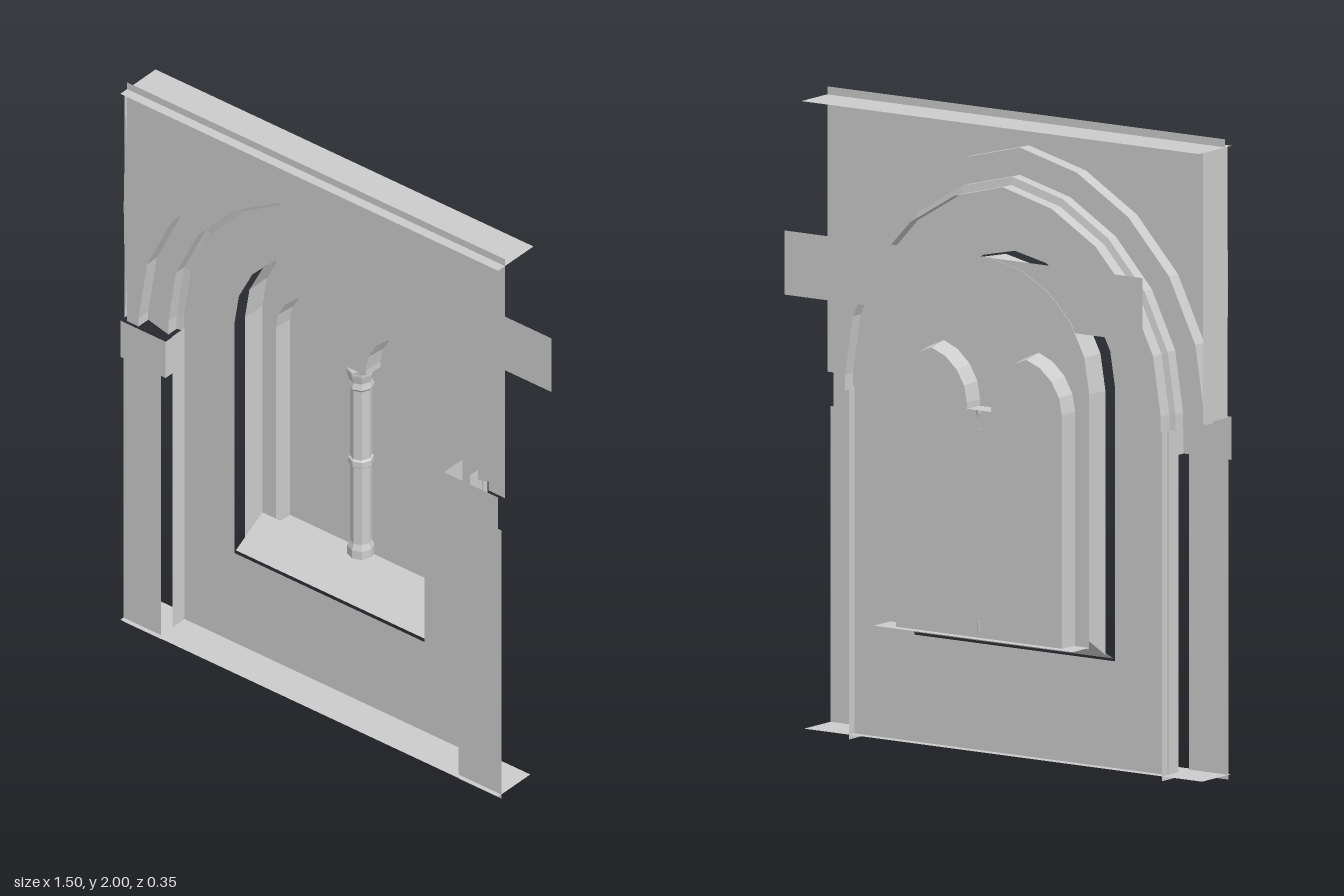
import * as THREE from 'three';

const mat = new THREE.MeshStandardMaterial({ color: 0xcccccc, side: THREE.DoubleSide, flatShading: true });
const v2 = (x, y) => new THREE.Vector2(x, y);

// Outline of a pointed arch, from its left foot over the apex to its right foot
function arch(cx, half, foot, spring, apex, point, n = 10) {
  const pts = [v2(cx - half, foot)];
  for (let i = 0; i <= n; i++) {
    const a = Math.PI * (1 - i / n);
    const rise = (1 - point) * Math.sin(a) + point * (1 - Math.abs(Math.cos(a)));
    pts.push(v2(cx + half * Math.cos(a), spring + (apex - spring) * rise));
  }
  pts.push(v2(cx + half, foot));
  return pts;
}

const rect = (x0, x1, y0, y1) => [v2(x0, y0), v2(x1, y0), v2(x1, y1), v2(x0, y1)];

export function createModel() {
  const model = new THREE.Group();

  const add = (name, geometry, x = 0, y = 0, z = 0) => {
    const mesh = new THREE.Mesh(geometry, mat);
    mesh.name = name;
    mesh.position.set(x, y, z);
    model.add(mesh);
  };

  // Flat upright sheet with optional holes
  const sheet = (name, outline, z, holes = []) => {
    const shape = new THREE.Shape(outline);
    holes.forEach(h => shape.holes.push(new THREE.Path(h)));
    add(name, new THREE.ShapeGeometry(shape), 0, 0, z);
  };

  // Open band joining two outlines with the same number of points
  const band = (name, a, za, b, zb) => {
    const pos = [], index = [];
    a.forEach((p, i) => {
      pos.push(p.x, p.y, za, b[i].x, b[i].y, zb);
      if (i) index.push(2 * i - 2, 2 * i - 1, 2 * i, 2 * i, 2 * i - 1, 2 * i + 1);
    });
    const g = new THREE.BufferGeometry();
    g.setAttribute('position', new THREE.Float32BufferAttribute(pos, 3));
    g.setIndex(index);
    g.computeVertexNormals();
    add(name, g);
  };

  // Horizontal sheet and sideways-facing sheet
  const ledge = (name, x0, x1, y, z0, z1) =>
    add(name, new THREE.PlaneGeometry(x1 - x0, z1 - z0).rotateX(-Math.PI / 2), (x0 + x1) / 2, y, (z0 + z1) / 2);
  const side = (name, x, y0, y1, z0, z1) =>
    add(name, new THREE.PlaneGeometry(z1 - z0, y1 - y0).rotateY(Math.PI / 2), x, (y0 + y1) / 2, (z0 + z1) / 2);

  // Front wall above the capitals, cut out by the large arch
  const outer = arch(-0.01, 0.695, 1.11, 1.14, 1.9, 0.09);
  sheet('frontWall', [v2(-0.75, 1.11), ...outer, v2(0.75, 1.11), v2(0.75, 2), v2(-0.75, 2)], 0.137);
  side('wallSide', -0.75, 1.13, 1.975, 0.02, 0.15);
  ledge('topLedge', -0.75, 0.75, 1.975, 0, 0.17);
  ledge('floorLedge', -0.75, 0.75, 0.015, 0.015, 0.17);

  // Stepped mouldings of the large arch
  const middle = arch(-0.01, 0.615, 1.09, 1.14, 1.815, 0.09);
  const inner = arch(-0.01, 0.595, 1.09, 1.14, 1.79, 0.09);
  band('outerSoffit', outer, 0.137, outer, 0.09);
  band('archRing', outer, 0.09, middle, 0.09);
  band('middleSoffit', middle, 0.09, middle, 0.05);
  band('innerChamfer', middle, 0.05, inner, 0.045);
  band('innerSoffit', inner, 0.045, inner, 0);

  // Recessed wall with the window opening
  const opening = arch(-0.025, 0.378, 0.348, 1.2, 1.587, 0.06);
  sheet('recessedWall', arch(-0.01, 0.595, 0.015, 1.14, 1.79, 0.09), 0.042, [opening]);

  // Pillars, jambs and capitals
  for (const [x0, x1, jamb, c0, c1, cInner] of [
    [-0.75, -0.6, -0.6, -0.75, -0.57, -0.57], [0.58, 0.75, 0.58, 0.535, 0.75, 0.535]]) {
    sheet('pillar', rect(x0, x1, 0, 1), 0.155);
    side('jamb', jamb, 0, 1.1, 0.015, 0.1);
    sheet('capitalFront', rect(c0, c1, 0.995, 1.13), 0.17);
    side('capitalSide', cInner, 0.995, 1.13, 0.08, 0.17);
  }

  // Window reveal and sloping sill
  const revealFront = arch(-0.025, 0.375, 0.375, 1.2, 1.585, 0.06);
  const revealBack = arch(-0.025, 0.375, 0.43, 1.2, 1.585, 0.06);
  band('windowReveal', revealFront, -0.005, revealBack, -0.09);
  band('slopingSill', [v2(-0.4, 0.357), v2(0.35, 0.357)], 0.038, [v2(-0.4, 0.43), v2(0.35, 0.43)], -0.09);
  ledge('backSill', -0.4, 0.35, 0.41, -0.178, -0.09);

  // Twin pointed lights joined behind the column: one outline over both arches
  const lights = (half, apex) => {
    const [left, right] = [-0.21, 0.148].map(cx => arch(cx, half, 0.411, 1.14, apex, 0.18, 8));
    return [...left.slice(0, -1), v2(-0.21 + half, 1.12), v2(0.148 - half, 1.12), ...right.slice(1)];
  };
  const lightFront = lights(0.137, 1.31);
  const lightBack = lights(0.133, 1.297);
  sheet('tracery', arch(-0.025, 0.375, 0.405, 1.2, 1.585, 0.06), -0.09, [lightFront]);
  band('lightReveal', lightFront, -0.09, lightBack, -0.155);
  sheet('pane', lightBack, -0.155);
  sheet('rearBand', rect(-0.6, 0.75, 1.385, 1.585), -0.088);

  // Slim column between the lights, with rings
  const profile = [[0.042, 0.43], [0.042, 0.46], [0.034, 0.48], [0.034, 0.765], [0.04, 0.77], [0.04, 0.79],
    [0.034, 0.795], [0.034, 1.05], [0.042, 1.06], [0.036, 1.08], [0.044, 1.11], [0.044, 1.12]];
  add('column', new THREE.LatheGeometry(profile.map(p => v2(...p)), 8), -0.03, 0, -0.115);

  // Thin upright sliver at the wall's edge
  sheet('edgeSliver', [v2(-0.738, 1.15), v2(-0.722, 1.55), v2(-0.738, 1.92), v2(-0.745, 1.55)], 0.16);

  return model;
}
